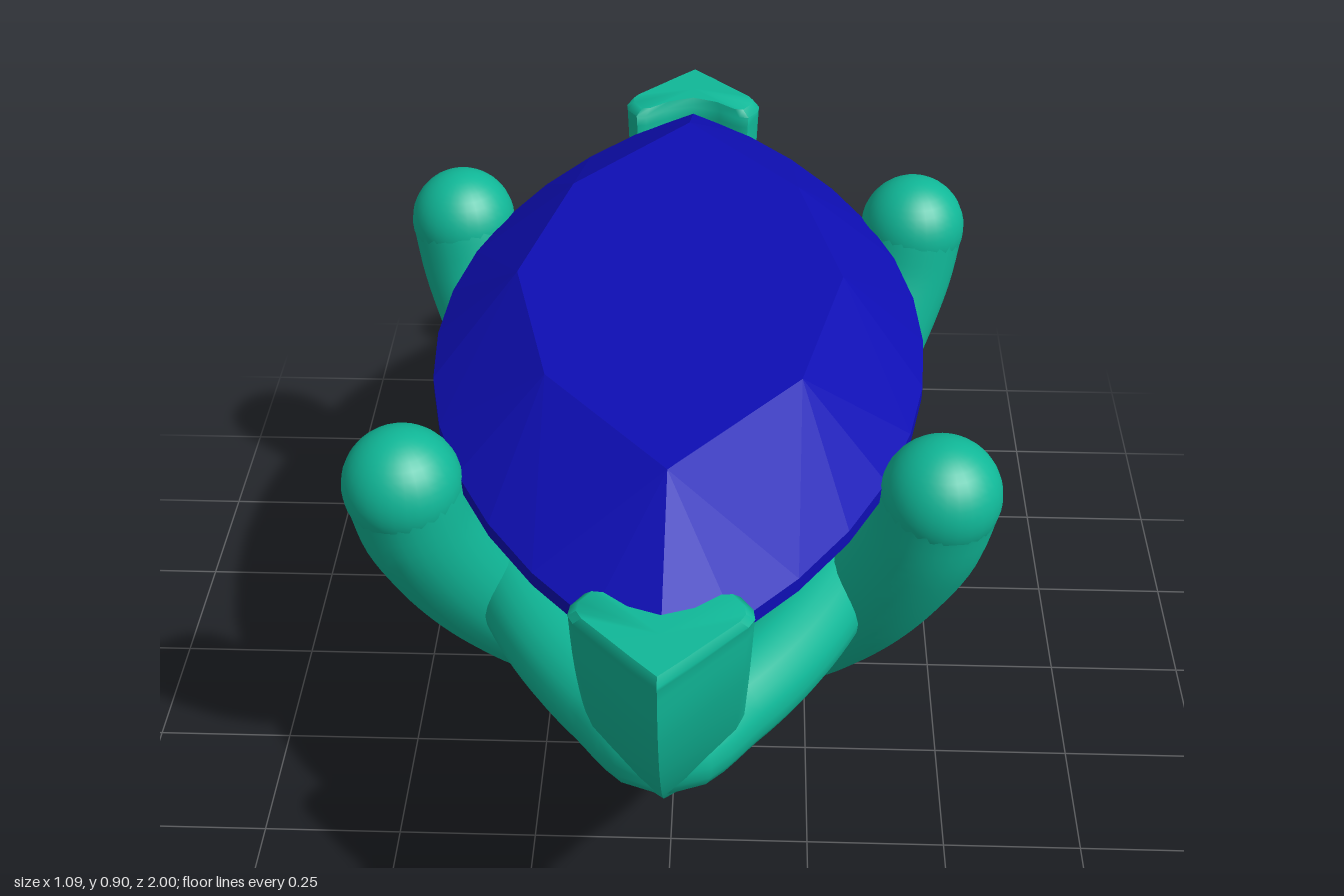
import * as THREE from 'three';
import { toCreasedNormals } from 'three/addons/utils/BufferGeometryUtils.js';
import { ConvexGeometry } from 'three/addons/geometries/ConvexGeometry.js';

const metal = new THREE.MeshStandardMaterial({ color: 0x10b898 });
const gemMat = new THREE.MeshStandardMaterial({ color: 0x0e0eb4, flatShading: true });

function add(parent, name, geometry, material) {
  const mesh = new THREE.Mesh(geometry, material);
  mesh.name = name;
  parent.add(mesh);
  return mesh;
}

// Marquise outline: two arcs meeting in points at z = +-halfLength
function marquise(halfLength, halfWidth, count, y) {
  const R = (halfLength ** 2 + halfWidth ** 2) / (2 * halfWidth);
  const sweep = Math.asin(halfLength / R);
  const pts = [];
  for (const s of [1, -1]) {
    for (let i = 0; i < count; i++) {
      const a = s * sweep * (1 - (2 * i) / count);
      pts.push(new THREE.Vector3(s * (R * Math.cos(a) - R + halfWidth), y, R * Math.sin(a)));
    }
  }
  return pts;
}

// Faceted stone: table, girdle band and culet joined by flat facets
function gemGeometry() {
  return new ConvexGeometry([
    ...marquise(0.59, 0.29, 4, 0.905),
    ...marquise(0.9, 0.44, 14, 0.773),
    ...marquise(0.9, 0.44, 14, 0.748),
    new THREE.Vector3(0, 0.355, 0),
  ]);
}

// Tip prong: a rounded ridge bar at the base that becomes a V-shaped claw
function clawGeometry() {
  const curve = (pts) => new THREE.CatmullRomCurve3(pts.map(([z, y]) => new THREE.Vector3(0, y, z)));
  const outer = curve([[0, 0], [0.2, 0.035], [0.4, 0.115], [0.6, 0.235], [0.8, 0.4], [0.92, 0.56], [0.98, 0.7], [1, 0.83]]);
  const inner = curve([[0, 0.2], [0.15, 0.21], [0.3, 0.265], [0.45, 0.35], [0.6, 0.48], [0.72, 0.62], [0.78, 0.73], [0.792, 0.83]]);
  // Half sections as [x fraction, inner-to-outer fraction], base and top
  const base = [[0, 1], [0.3, 0.95], [0.6, 0.84], [0.85, 0.68], [1, 0.5], [0.97, 0.32], [0.85, 0.17], [0.65, 0.07], [0.4, 0.02], [0, 0]];
  const top = [[0, 1], [0.3, 0.79], [0.6, 0.57], [0.93, 0.33], [1, 0.24], [0.98, 0.13], [0.84, -0.01], [0.7, 0], [0.4, 0.17], [0, 0.27]];
  const rings = 40, n = 18, pos = [], index = [];
  for (let j = 0; j <= rings + 1; j++) {
    const u = Math.min(j / rings, 1);
    const P = outer.getPoint(u), Q = inner.getPoint(u);
    const k = THREE.MathUtils.smoothstep(u, 0.3, 0.9);
    const w = 0.105 + 0.035 * u;
    const shrink = j > rings ? 0.9 : 1;
    const drop = j === rings ? 0.014 : 0;
    for (let i = 0; i < n; i++) {
      const h = i <= 9 ? i : n - i, s = i <= 9 ? 1 : -1;
      const x = s * w * shrink * THREE.MathUtils.lerp(base[h][0], top[h][0], k);
      const t = 0.5 + (THREE.MathUtils.lerp(base[h][1], top[h][1], k) - 0.5) * shrink;
      pos.push(x, Q.y + (P.y - Q.y) * t - drop, Q.z + (P.z - Q.z) * t);
    }
  }
  for (let j = 0; j <= rings; j++) {
    for (let i = 0; i < n; i++) {
      const a = j * n + i, b = j * n + ((i + 1) % n);
      index.push(a, b, b + n, a, b + n, a + n);
    }
  }
  // Flat top of the claw
  const last = (rings + 1) * n, centre = pos.length / 3;
  pos.push(0, 0.83, 0.896);
  for (let i = 0; i < n; i++) index.push(centre, last + i, last + ((i + 1) % n));
  const g = new THREE.BufferGeometry();
  g.setAttribute('position', new THREE.Float32BufferAttribute(pos, 3));
  g.setIndex(index);
  return toCreasedNormals(g, 0.9);
}

export function createModel() {
  const model = new THREE.Group();
  model.name = 'marquiseStoneSetting';

  add(model, 'gemstone', gemGeometry(), gemMat);

  // Four round prongs with ball tips
  const path = [[0, 0.1], [0.06, 0.125], [0.14, 0.19], [0.25, 0.315], [0.355, 0.49], [0.425, 0.66], [0.445, 0.76]];
  for (const sx of [1, -1]) {
    for (const sz of [1, -1]) {
      const prong = new THREE.Group();
      prong.name = `${sz > 0 ? 'front' : 'back'}${sx > 0 ? 'Left' : 'Right'}Prong`;
      const pts = path.map(([d, y]) => new THREE.Vector3(sx * d, y, sz * d));
      add(prong, 'prongShaft', new THREE.TubeGeometry(new THREE.CatmullRomCurve3(pts), 40, 0.1, 24), metal);
      add(prong, 'prongTip', new THREE.SphereGeometry(0.101, 28, 20), metal).position.copy(pts[pts.length - 1]);
      model.add(prong);
    }
  }

  // V-shaped claws at both ends of the stone
  const claw = clawGeometry();
  add(model, 'frontClaw', claw, metal);
  add(model, 'backClaw', claw, metal).rotation.y = Math.PI;

  // Gallery rail under the stone
  const railPath = new THREE.CatmullRomCurve3(marquise(0.76, 0.335, 12, 0.482), true);
  add(model, 'galleryRail', new THREE.TubeGeometry(railPath, 120, 0.082, 20, true), metal);

  // Smooth hub where the prongs meet
  add(model, 'baseHub', new THREE.SphereGeometry(0.1, 28, 18), metal).position.y = 0.1;

  return model;
}
